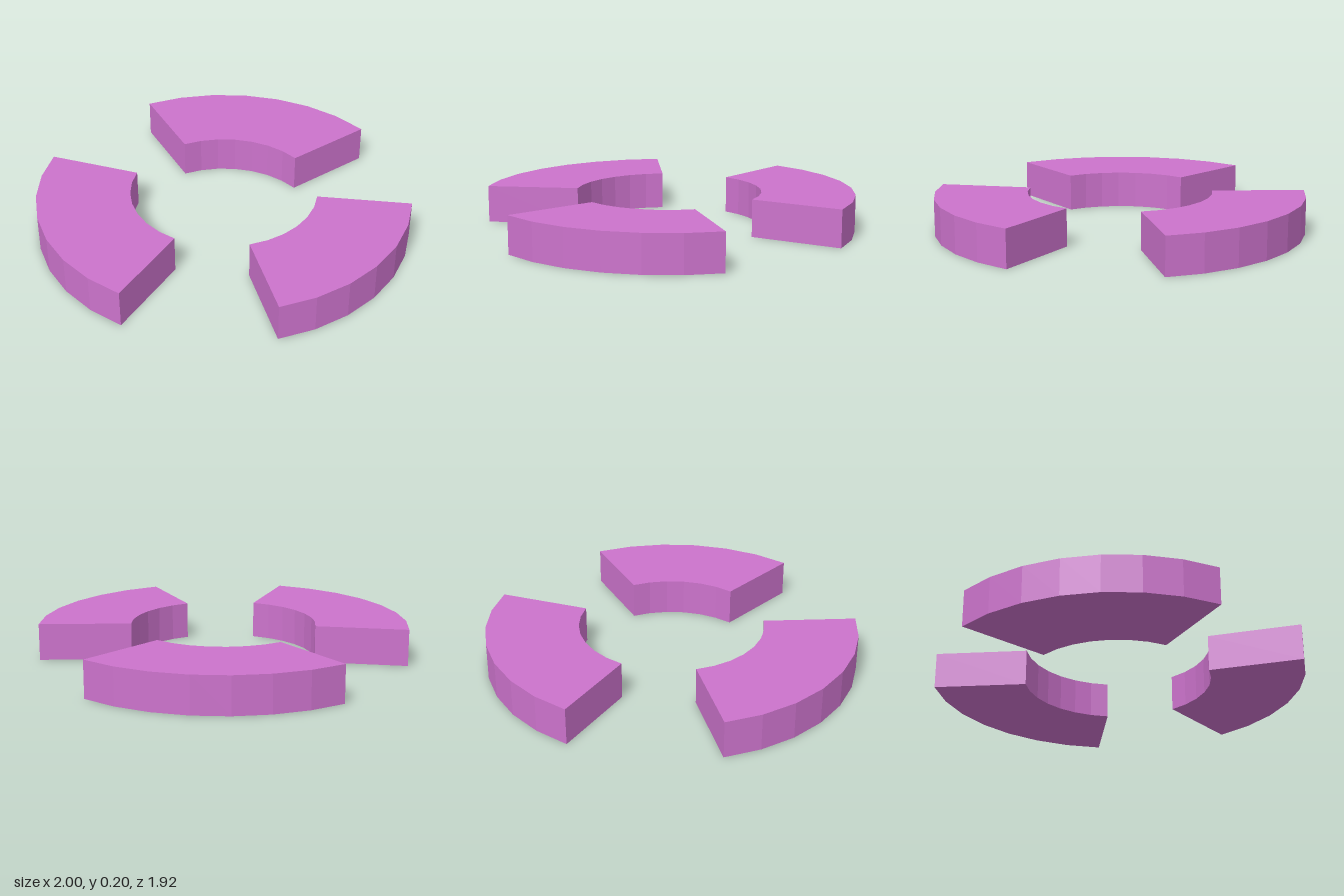
import * as THREE from 'three';

const STEP = Math.PI / 16; // 32 facets to a full turn
const INNER = 0.5, OUTER = 1, HEIGHT = 0.2, CENTRE_Z = 0.038;

// Flat ring sector between two facet indices, counter-clockwise seen from above
function ringSegment(name, from, to, material) {
  const points = [];
  const add = (r, i) => points.push(new THREE.Vector2(r * Math.cos(i * STEP), r * Math.sin(i * STEP)));
  for (let i = from; i <= to; i++) add(OUTER, i);
  for (let i = to; i >= from; i--) add(INNER, i);
  const geometry = new THREE.ExtrudeGeometry(new THREE.Shape(points), { depth: HEIGHT, bevelEnabled: false });
  geometry.rotateX(-Math.PI / 2);
  const mesh = new THREE.Mesh(geometry, material);
  mesh.name = name;
  mesh.position.z = CENTRE_Z;
  return mesh;
}

export function createModel() {
  const group = new THREE.Group();
  group.name = 'brokenRing';
  const material = new THREE.MeshStandardMaterial({ color: 0xcc73cc, flatShading: true });

  // Three separate arcs with gaps between them
  group.add(
    ringSegment('backArc', 4, 11, material),
    ringSegment('rightArc', 15, 22, material),
    ringSegment('leftArc', 26, 32, material),
  );
  return group;
}
